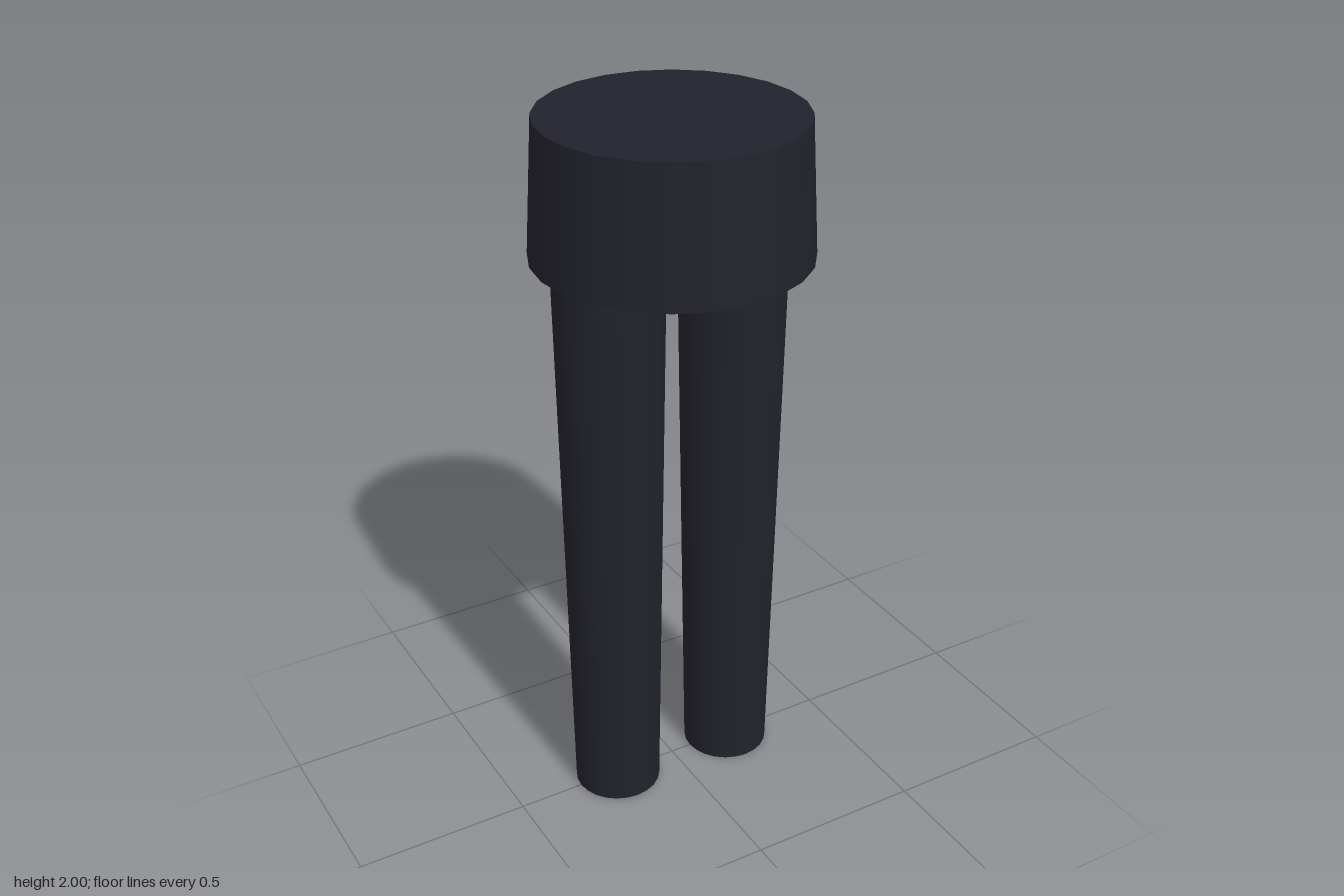
import * as THREE from 'three';

export function createModel() {
  const model = new THREE.Group();
  model.name = 'trousers';

  const fabric = new THREE.MeshStandardMaterial({ color: 0x22222c });
  fabric.name = 'dark navy fabric';

  // Upright tapered cylinder spanning bottom to top
  const addTaper = (name, rTop, rBottom, bottom, top, x) => {
    const height = top - bottom;
    const mesh = new THREE.Mesh(new THREE.CylinderGeometry(rTop, rBottom, height, 24), fabric);
    mesh.name = name;
    mesh.position.set(x, bottom + height / 2, 0);
    model.add(mesh);
  };

  // Hips
  addTaper('hips', 0.35, 0.372, 1.63, 2, 0);

  // Legs, tucked slightly into the hips
  for (const [name, side] of [['leftLeg', 1], ['rightLeg', -1]]) {
    addTaper(name, 0.148, 0.123, 0, 1.64, side * 0.186);
  }

  return model;
}
